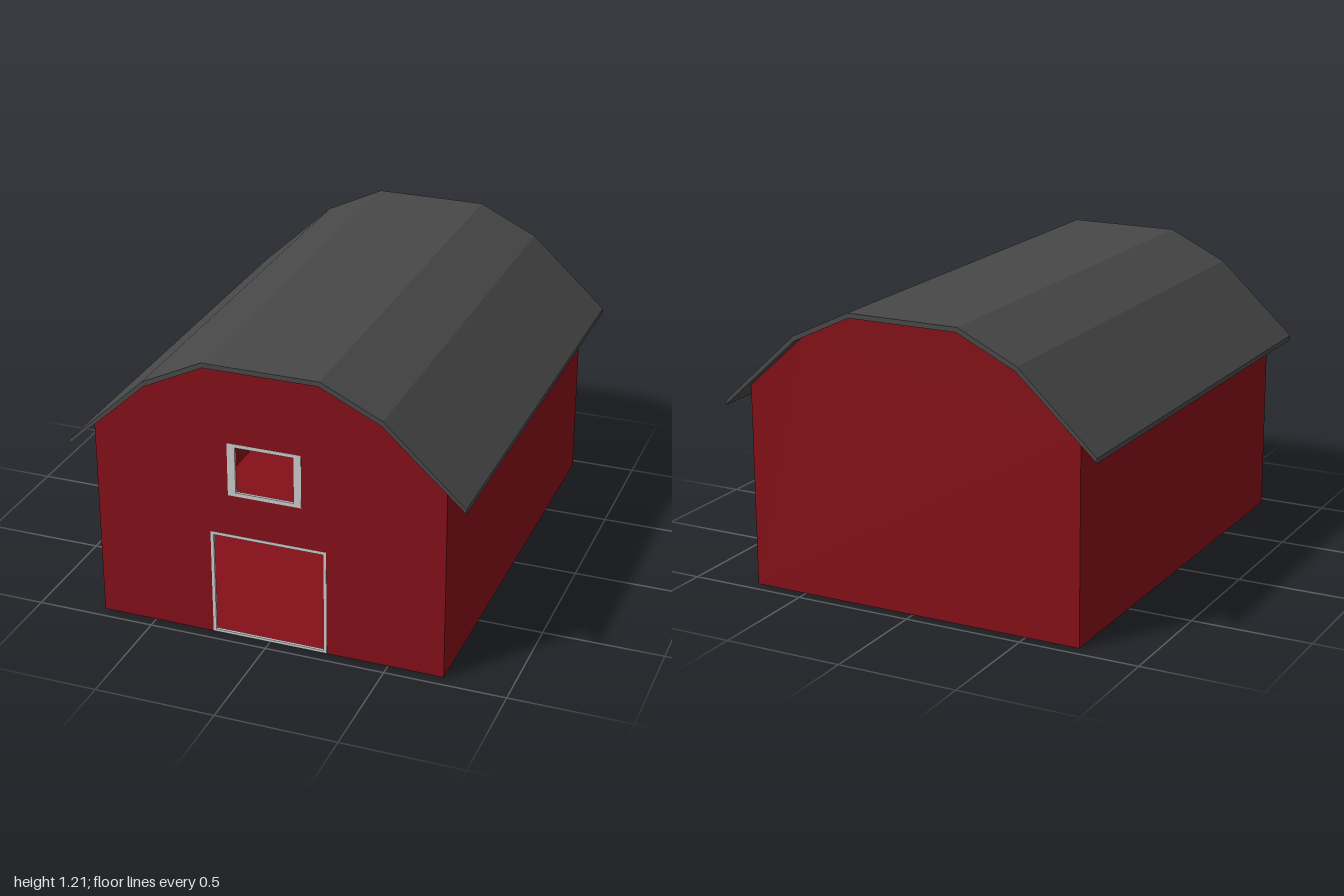
import * as THREE from 'three';

const HALF_W = 0.73, HALF_D = 0.95, ROOF_D = 1.0;

const red = new THREE.MeshStandardMaterial({ color: 0x850f18, flatShading: true, side: THREE.DoubleSide });
const slate = new THREE.MeshStandardMaterial({ color: 0x484848, flatShading: true });
const grey = new THREE.MeshStandardMaterial({ color: 0xcccccc, flatShading: true });

// Right half of the gambrel roof, eave to ridge
const roofTop = [[0.82, 0.785], [0.49, 1.09], [0.24, 1.21]];
const roofUnder = [[0.82, 0.765], [0.485, 1.07], [0.235, 1.19]];
const wallTop = [[HALF_W, 0.847], [0.485, 1.07], [0.235, 1.19]];

const mirrored = (half) => [...half, ...half.map(([x, y]) => [-x, y]).reverse()];
const toShape = (pts) => new THREE.Shape(pts.map(([x, y]) => new THREE.Vector2(x, y)));
const rect = ([x0, y0, x1, y1]) => [[x0, y0], [x1, y0], [x1, y1], [x0, y1]];

export function createModel() {
  const barn = new THREE.Group();
  barn.name = 'barn';
  const add = (name, geometry, material) => {
    const mesh = new THREE.Mesh(geometry, material);
    mesh.name = name;
    barn.add(mesh);
    return mesh;
  };

  // Openings in the front wall: outer and inner edges of each frame
  const openings = [
    { name: 'doorFrame', outer: [-0.245, 0.001, 0.243, 0.46], inner: [-0.232, 0.012, 0.23, 0.447] },
    { name: 'windowFrame', outer: [-0.165, 0.635, 0.142, 0.862], inner: [-0.132, 0.651, 0.11, 0.847] },
  ];

  // Gable walls
  const gable = () => toShape([[-HALF_W, 0], [HALF_W, 0], ...mirrored(wallTop)]);
  const frontShape = gable();
  for (const { outer } of openings) frontShape.holes.push(toShape(rect(outer)));
  add('frontWall', new THREE.ShapeGeometry(frontShape), red).position.z = HALF_D;
  const back = add('backWall', new THREE.ShapeGeometry(gable()), red);
  back.rotation.y = Math.PI;
  back.position.z = -HALF_D;

  // Side walls
  const wallH = wallTop[0][1];
  for (const [name, s] of [['leftWall', 1], ['rightWall', -1]]) {
    const wall = add(name, new THREE.PlaneGeometry(HALF_D * 2, wallH), red);
    wall.rotation.y = s * Math.PI / 2;
    wall.position.set(s * HALF_W, wallH / 2, 0);
  }

  // Floor, visible through the open door
  add('floor', new THREE.PlaneGeometry(HALF_W * 2, HALF_D * 2), red).rotation.x = Math.PI / 2;

  // Door and window frames, flush with the front wall
  for (const { name, outer, inner } of openings) {
    const shape = toShape(rect(outer));
    shape.holes.push(toShape(rect(inner)));
    const geometry = new THREE.ExtrudeGeometry(shape, { depth: 0.012, bevelEnabled: false });
    add(name, geometry, grey).position.z = HALF_D - 0.011;
  }

  // Overhanging roof shell
  const roofShape = toShape([...mirrored(roofTop), ...mirrored(roofUnder).reverse()]);
  const roof = new THREE.ExtrudeGeometry(roofShape, { depth: ROOF_D * 2, bevelEnabled: false });
  add('roof', roof, slate).position.z = -ROOF_D;

  return barn;
}
